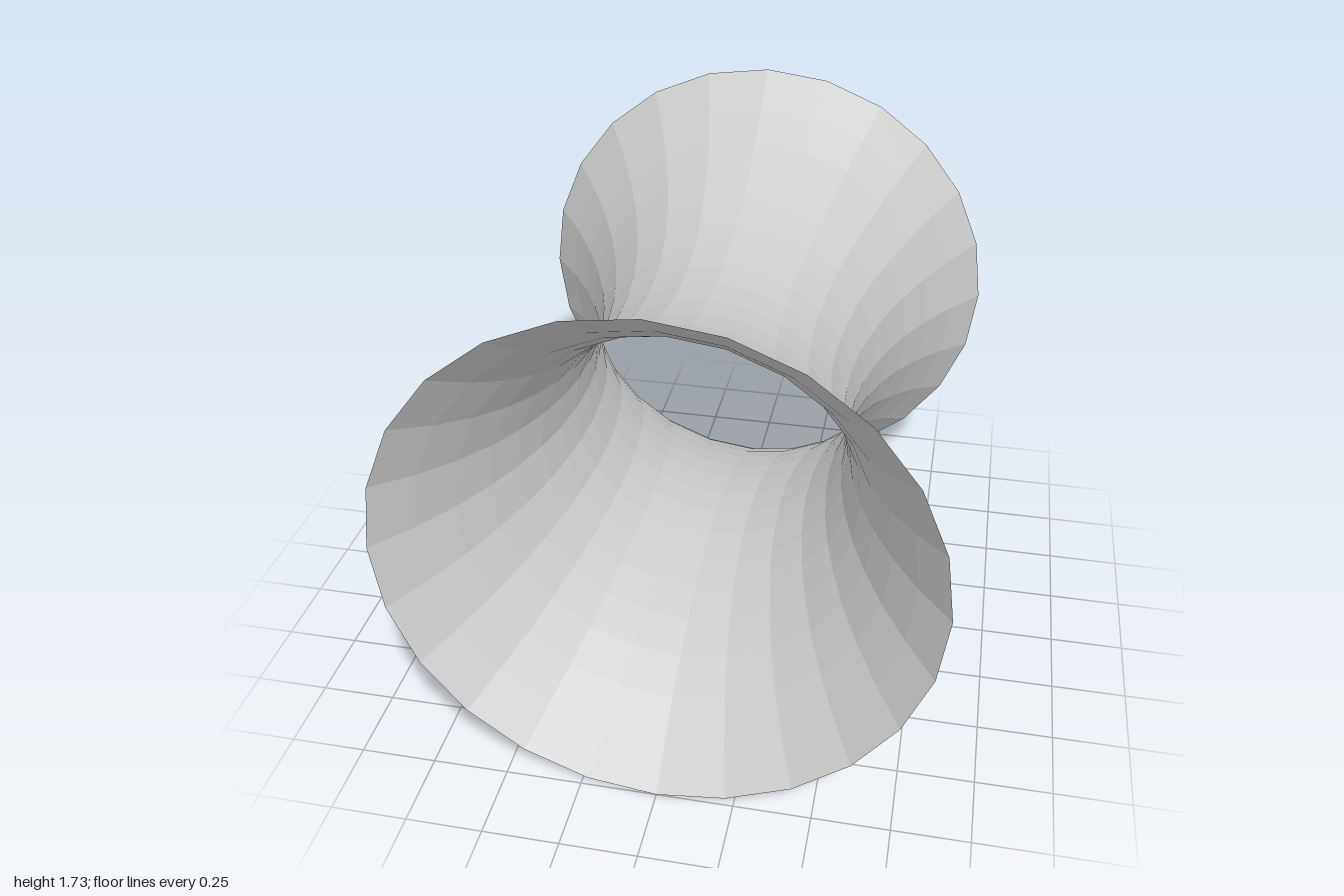
import * as THREE from 'three';

const END_RADIUS = 0.866, WAIST_RADIUS = 0.466, HALF_LENGTH = 1;
const RINGS = 16, SIDES = 24;

export function createModel() {
  const group = new THREE.Group();
  group.name = 'flaredTube';

  // Hyperbolic-cosine profile: narrow waist flaring to both open ends
  const k = Math.acosh(END_RADIUS / WAIST_RADIUS);
  const profile = [];
  for (let i = 0; i <= RINGS; i++) {
    const t = (2 * i) / RINGS - 1;
    profile.push(new THREE.Vector2(WAIST_RADIUS * Math.cosh(k * t), t * HALF_LENGTH));
  }

  // Thin open shell, axis laid along z and resting on the ground
  const geometry = new THREE.LatheGeometry(profile, SIDES);
  geometry.rotateX(Math.PI / 2);
  geometry.translate(0, END_RADIUS, 0);

  const shell = new THREE.Mesh(geometry, new THREE.MeshStandardMaterial({
    color: 0xcccccc, flatShading: true, side: THREE.DoubleSide,
  }));
  shell.name = 'shell';
  group.add(shell);
  return group;
}
